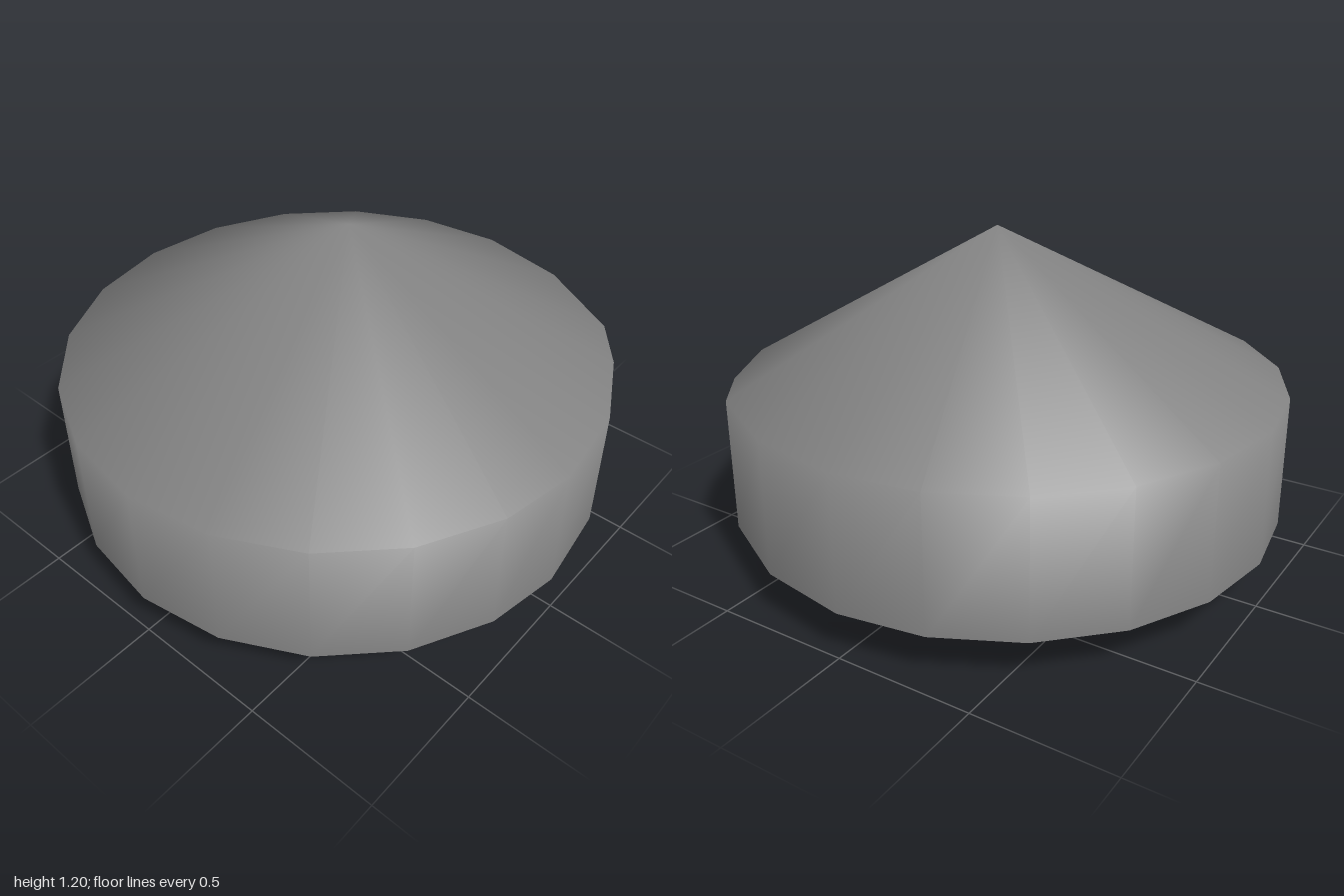
import * as THREE from 'three';

const SIDES = 20;
// A few rim corners are nudged off the regular polygon (degrees)
const NUDGE = { 0: -1.7, 3: -5.4, 4: -1.9 };

function rim(y) {
  return Array.from({ length: SIDES }, (_, k) => {
    const a = THREE.MathUtils.degToRad((k * 360) / SIDES + (NUDGE[k] ?? 0));
    const r = k === 3 ? 1.015 : 1;
    return [r * Math.cos(a), y, -r * Math.sin(a)];
  });
}

function makeMesh(name, points, faces, flatShading) {
  const geometry = new THREE.BufferGeometry();
  geometry.setAttribute('position', new THREE.Float32BufferAttribute(points.flat(), 3));
  geometry.setIndex(faces.flat());
  geometry.computeVertexNormals();
  const material = new THREE.MeshStandardMaterial({ color: 0x858585, flatShading });
  const mesh = new THREE.Mesh(geometry, material);
  mesh.name = name;
  return mesh;
}

export function createModel() {
  const group = new THREE.Group();
  group.name = 'pointedDrum';
  const lower = rim(0.165);
  const upper = rim(0.65);

  // Wall and pointed cap share normals, so their join shades smoothly
  const shell = [];
  const base = [];
  for (let k = 0; k < SIDES; k++) {
    const n = (k + 1) % SIDES;
    shell.push([k, n, SIDES + n], [k, SIDES + n, SIDES + k]);
    shell.push([SIDES + k, SIDES + n, 2 * SIDES]);
    base.push([n, k, SIDES]);
  }
  group.add(makeMesh('wallAndCap', [...lower, ...upper, [0.053, 1.195, 0]], shell, false));

  // Shallow faceted cone underneath, with a sharp edge to the wall
  group.add(makeMesh('base', [...lower, [0, 0, 0]], base, true));
  return group;
}
